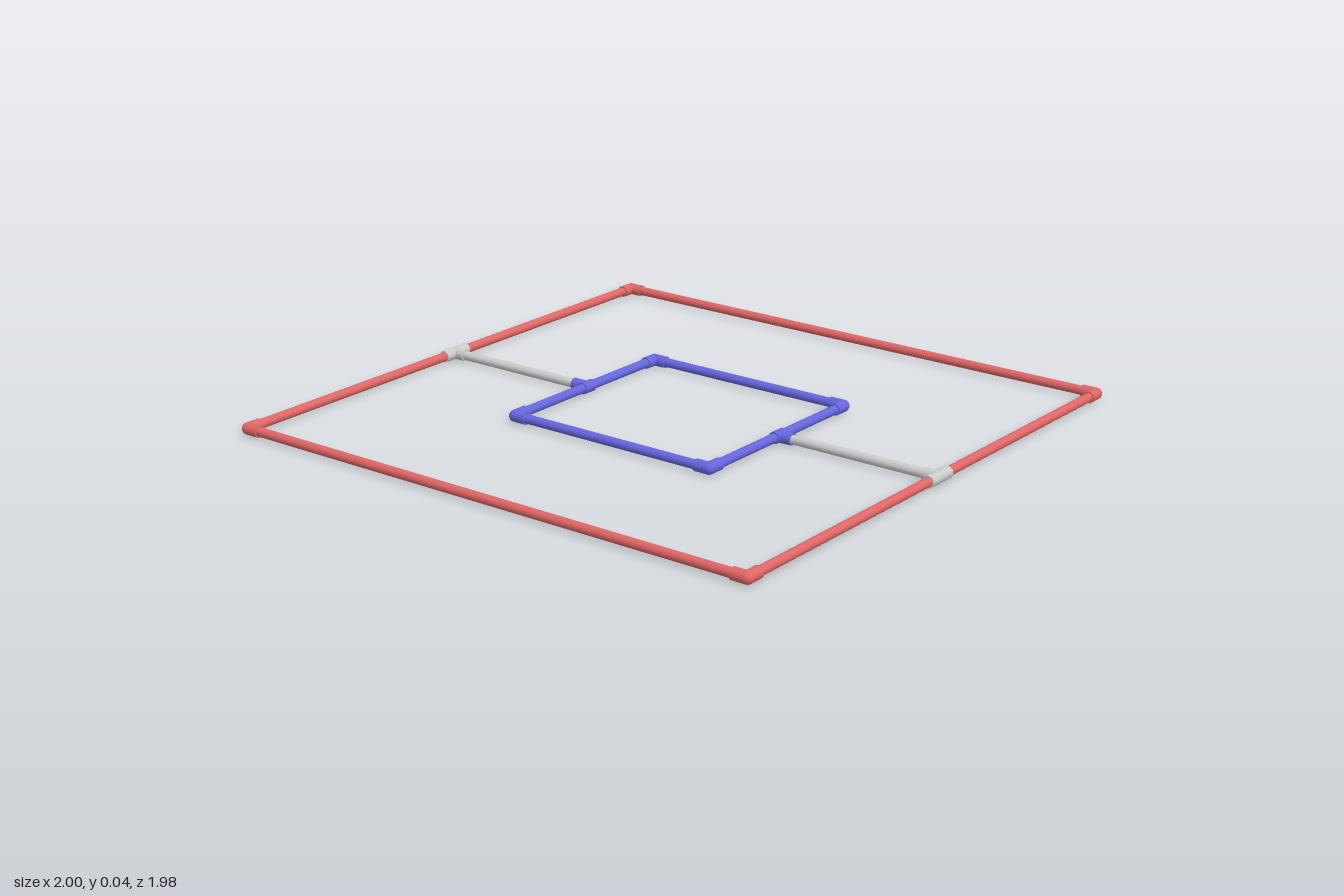
import * as THREE from 'three';

const PIPE = 0.0155, FIT = 0.02, Y = 0.02, ARM = 0.05;

export function createModel() {
  const model = new THREE.Group();
  const red = new THREE.MeshStandardMaterial({ color: 0xe06666 });
  const blue = new THREE.MeshStandardMaterial({ color: 0x6666e0 });
  const grey = new THREE.MeshStandardMaterial({ color: 0xcccccc });

  // Horizontal cylinder between two [x, z] points
  function rod(name, a, b, radius, material, parent = model) {
    const dir = new THREE.Vector3(b[0] - a[0], 0, b[1] - a[1]);
    const mesh = new THREE.Mesh(new THREE.CylinderGeometry(radius, radius, dir.length(), 24), material);
    mesh.name = name;
    mesh.position.set((a[0] + b[0]) / 2, Y, (a[1] + b[1]) / 2);
    mesh.quaternion.setFromUnitVectors(new THREE.Vector3(0, 1, 0), dir.normalize());
    parent.add(mesh);
  }

  // Corner fitting: two sockets meeting in a ball
  function elbow(name, x, z, material) {
    const group = new THREE.Group();
    group.name = name;
    rod('elbowSocket', [x, z], [x - Math.sign(x) * ARM, z], FIT, material, group);
    rod('elbowSocket', [x, z], [x, z - Math.sign(z) * ARM], FIT, material, group);
    const ball = new THREE.Mesh(new THREE.SphereGeometry(FIT, 24, 16), material);
    ball.name = 'elbowCorner';
    ball.position.set(x, Y, z);
    group.add(ball);
    model.add(group);
  }

  // Rectangular pipe frame with four corner fittings
  function frame(name, w, d, material) {
    for (const s of [-1, 1]) {
      rod(name + 'CrossPipe', [-w, s * d], [w, s * d], PIPE, material);
      rod(name + 'SidePipe', [s * w, -d], [s * w, d], PIPE, material);
      for (const t of [-1, 1]) elbow(name + 'Elbow', s * w, t * d, material);
    }
  }

  frame('outerFrame', 0.98, 0.97, red);
  frame('innerFrame', 0.39, 0.362, blue);

  // Connecting pipes and their tee fittings on both sides
  for (const s of [-1, 1]) {
    rod('connectingPipe', [s * 0.39, 0], [s * 0.98, 0], PIPE, grey);
    rod('outerTeeRun', [s * 0.98, -0.055], [s * 0.98, 0.055], FIT, grey);
    rod('outerTeeBranch', [s * 0.98, 0], [s * 0.93, 0], FIT, grey);
    rod('innerTeeRun', [s * 0.39, -0.025], [s * 0.39, 0.025], FIT, blue);
    rod('innerTeeBranch', [s * 0.39, 0], [s * 0.445, 0], FIT, blue);
  }
  return model;
}
